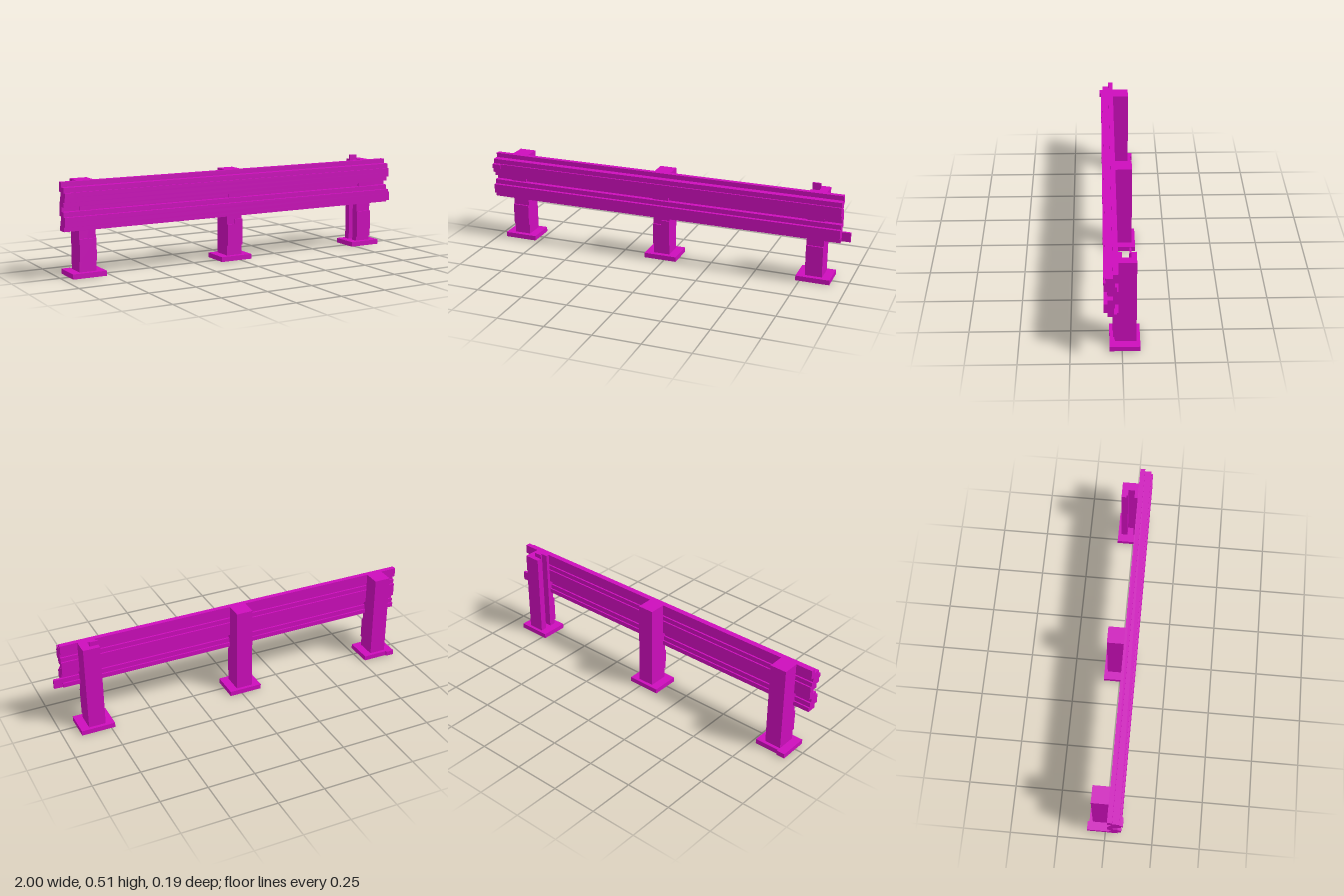
import * as THREE from 'three';

export function createModel() {
  const root = new THREE.Group();
  root.name = 'guardrail';
  const magenta = new THREE.MeshStandardMaterial({ color: 0xcc0dbb });
  magenta.name = 'magenta';

  // Box given by its minimum and maximum on each axis
  const box = (name, x0, x1, y0, y1, z0, z1, parent = root) => {
    const mesh = new THREE.Mesh(new THREE.BoxGeometry(x1 - x0, y1 - y0, z1 - z0), magenta);
    mesh.position.set((x0 + x1) / 2, (y0 + y1) / 2, (z0 + z1) / 2);
    mesh.name = name;
    parent.add(mesh);
  };

  // Stepped rail section: [bottom, top, back z, front z] for each layer
  const layers = [
    [0.244, 0.268, 0.018, 0.07],
    [0.268, 0.293, 0.026, 0.088],
    [0.293, 0.317, 0.035, 0.088],
    [0.317, 0.341, 0.018, 0.07],
    [0.341, 0.365, 0.018, 0.044],
    [0.365, 0.39, 0.018, 0.07],
    [0.39, 0.414, 0.026, 0.088],
    [0.414, 0.438, 0.035, 0.088],
    [0.438, 0.463, 0.018, 0.079],
    [0.463, 0.487, 0.018, 0.044],
  ];
  const outline = [];
  for (const [y0, y1, , front] of layers) {
    outline.push(new THREE.Vector2(-front, y0), new THREE.Vector2(-front, y1));
  }
  for (const [y0, y1, back] of [...layers].reverse()) {
    outline.push(new THREE.Vector2(-back, y1), new THREE.Vector2(-back, y0));
  }
  const section = outline.filter((p, i) => i === 0 || !p.equals(outline[i - 1]));
  const railGeometry = new THREE.ExtrudeGeometry(new THREE.Shape(section), { depth: 1.955, bevelEnabled: false });
  railGeometry.rotateY(Math.PI / 2).translate(-1, 0, 0);
  const rail = new THREE.Mesh(railGeometry, magenta);
  rail.name = 'rail';
  root.add(rail);

  // Small blocks at the rail ends
  box('railEndTab', 0.955, 1, 0.244, 0.293, 0.026, 0.04);
  box('railFrontBlock', -1, -0.955, 0.414, 0.438, 0.088, 0.097);

  // Posts with base plates, front plates and groove pads
  const posts = [
    { name: 'rightPost', x: -0.864, plate: [0.08, 0.195] },
    { name: 'middlePost', x: -0.023, plate: [0.08, 0.195] },
    { name: 'leftPost', x: 0.819, plate: [0.05, 0.195], channel: true },
  ];
  for (const { name, x, plate, channel } of posts) {
    const post = new THREE.Group();
    post.name = name;
    root.add(post);
    const x0 = x - 0.045, x1 = x + 0.045;
    box('basePlate', x - 0.09, x + 0.09, 0, 0.026, -0.088, 0.061, post);
    if (channel) {
      // C-shaped section, open towards -x
      box('web', x, x1, 0.026, 0.487, -0.07, 0.018, post);
      box('backFlange', x0, x, 0.026, 0.487, -0.07, -0.035, post);
      box('frontFlange', x0, x, 0.026, 0.487, 0, 0.018, post);
    } else {
      box('column', x0, x1, 0.026, 0.487, -0.07, 0.018, post);
    }
    box('columnFront', x0, x1, 0.026, 0.39, 0.018, 0.035, post);
    box('frontPlate', x0, x1, plate[0], plate[1], 0.035, 0.044, post);
    box('groovePad', x - 0.045, x + 0.045, 0.341, 0.365, 0.04, 0.053, post);
  }
  box('middlePostBlock', -0.023, 0.022, 0.195, 0.22, 0.035, 0.044);
  box('postTopTab', 0.774, 0.819, 0.487, 0.511, -0.044, -0.035);
  box('baseBackBlock', -0.954, -0.909, 0, 0.026, -0.097, -0.088);

  return root;
}
